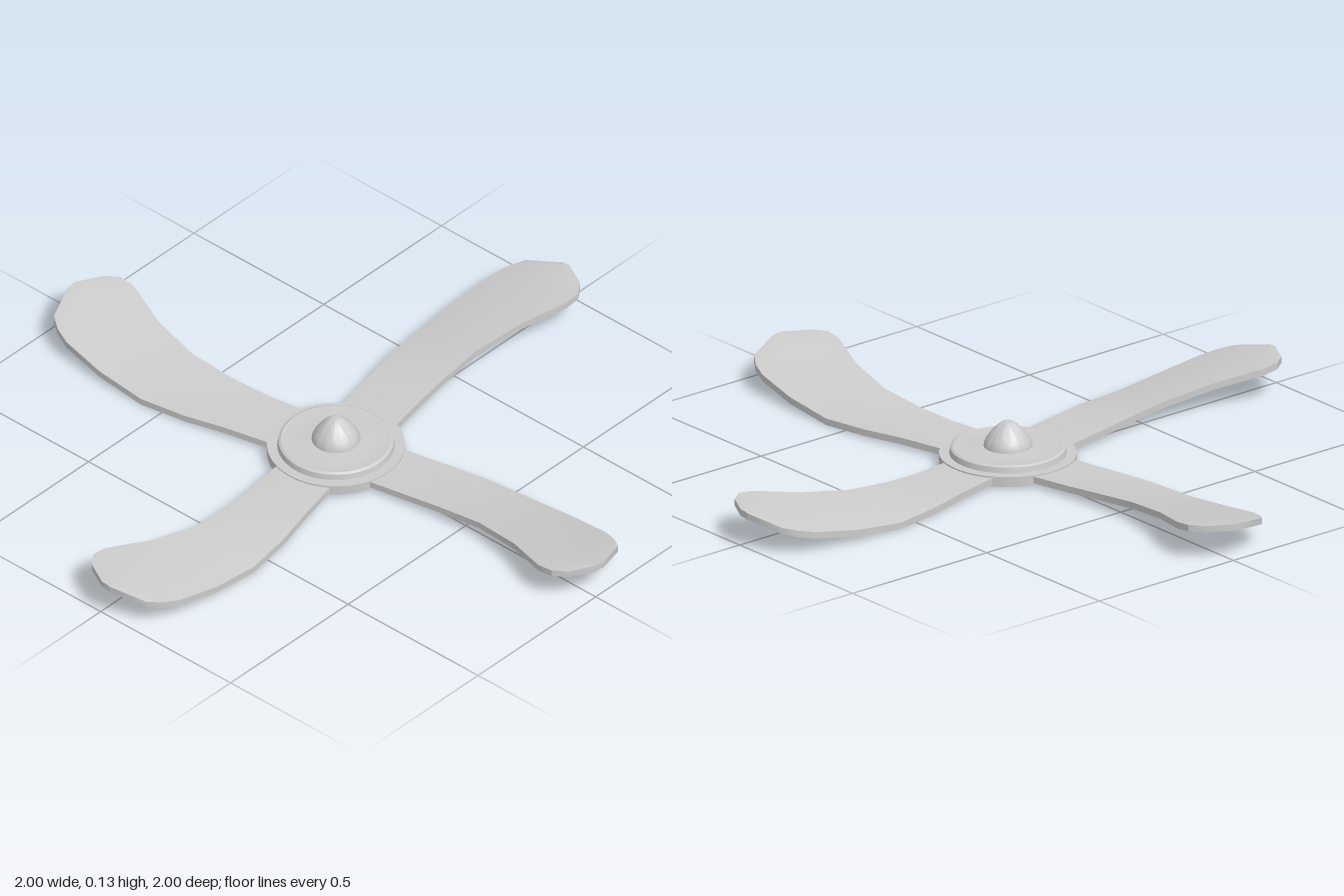
import * as THREE from 'three';
import { toCreasedNormals } from 'three/addons/utils/BufferGeometryUtils.js';

const material = new THREE.MeshStandardMaterial({ color: 0xcccccc });
const THICKNESS = 0.02;

// Blade stations along +x: [x, leading z, leading y, trailing z, trailing y]
const STATIONS = [
  [0.14, -0.115, 0.03, 0.07, 0.03],
  [0.3, -0.15, 0.029, 0.042, 0.034],
  [0.42, -0.18, 0.025, 0.027, 0.042],
  [0.57, -0.2, 0.02, 0.02, 0.057],
  [0.73, -0.2, 0.038, 0.048, 0.08],
  [0.87, -0.185, 0.062, 0.1, 0.104],
  [0.92, -0.167, 0.073, 0.1, 0.11],
  [0.96, -0.14, 0.084, 0.07, 0.11],
  [1.0, -0.035, 0.107, -0.005, 0.11],
];

// Twisted, upswept blade lofted through thin cross-sections
function bladeGeometry() {
  const n = 6, ring = 2 * (n + 1);
  const positions = [], index = [];
  const quad = (a, b, c, d) => index.push(a, b, c, a, c, d);

  STATIONS.forEach(([x, z0, y0, z1, y1]) => {
    for (let i = 0; i < ring; i++) {
      const top = i <= n;
      const t = (top ? i : ring - 1 - i) / n;
      const camber = 0.03 * x * x * t * (1 - t) * Math.min(1, (z1 - z0) / 0.2);
      const y = THREE.MathUtils.lerp(y0, y1, t) + camber;
      positions.push(x, top ? y : y - THICKNESS, THREE.MathUtils.lerp(z0, z1, t));
    }
  });

  const last = (STATIONS.length - 1) * ring;
  for (let s = 0; s < last; s += ring) {
    for (let i = 0; i < ring; i++) {
      const j = (i + 1) % ring;
      quad(s + i, s + j, s + ring + j, s + ring + i);
    }
  }
  // Close the root and the tip
  for (let i = 0; i < n; i++) {
    const o = ring - 1 - i;
    quad(last + i, last + i + 1, last + o - 1, last + o);
    quad(i, o, o - 1, i + 1);
  }

  const geometry = new THREE.BufferGeometry();
  geometry.setAttribute('position', new THREE.Float32BufferAttribute(positions, 3));
  geometry.setIndex(index);
  return toCreasedNormals(geometry, Math.PI / 5);
}

function lathe(name, profile) {
  const points = profile.map(([r, y]) => new THREE.Vector2(r, y));
  const geometry = toCreasedNormals(new THREE.LatheGeometry(points, 48), Math.PI / 6);
  const mesh = new THREE.Mesh(geometry, material);
  mesh.name = name;
  return mesh;
}

export function createModel() {
  const group = new THREE.Group();
  group.name = 'propeller';

  // Stepped hub plate with a shallow dished top
  group.add(lathe('hub', [
    [0, 0.005], [0.197, 0.005], [0.197, 0.035], [0.168, 0.035],
    [0.165, 0.052], [0.158, 0.056], [0.12, 0.053], [0.09, 0.056], [0, 0.06],
  ]));

  // Rounded cone in the middle
  group.add(lathe('spinner', [
    [0.07, 0.05], [0.069, 0.064], [0.062, 0.08], [0.05, 0.097],
    [0.035, 0.114], [0.018, 0.128], [0.008, 0.132], [0, 0.133],
  ]));

  // Four blades
  const geometry = bladeGeometry();
  for (let i = 0; i < 4; i++) {
    const blade = new THREE.Mesh(geometry, material);
    blade.name = `blade${i + 1}`;
    blade.rotation.y = (i * Math.PI) / 2;
    group.add(blade);
  }
  return group;
}
